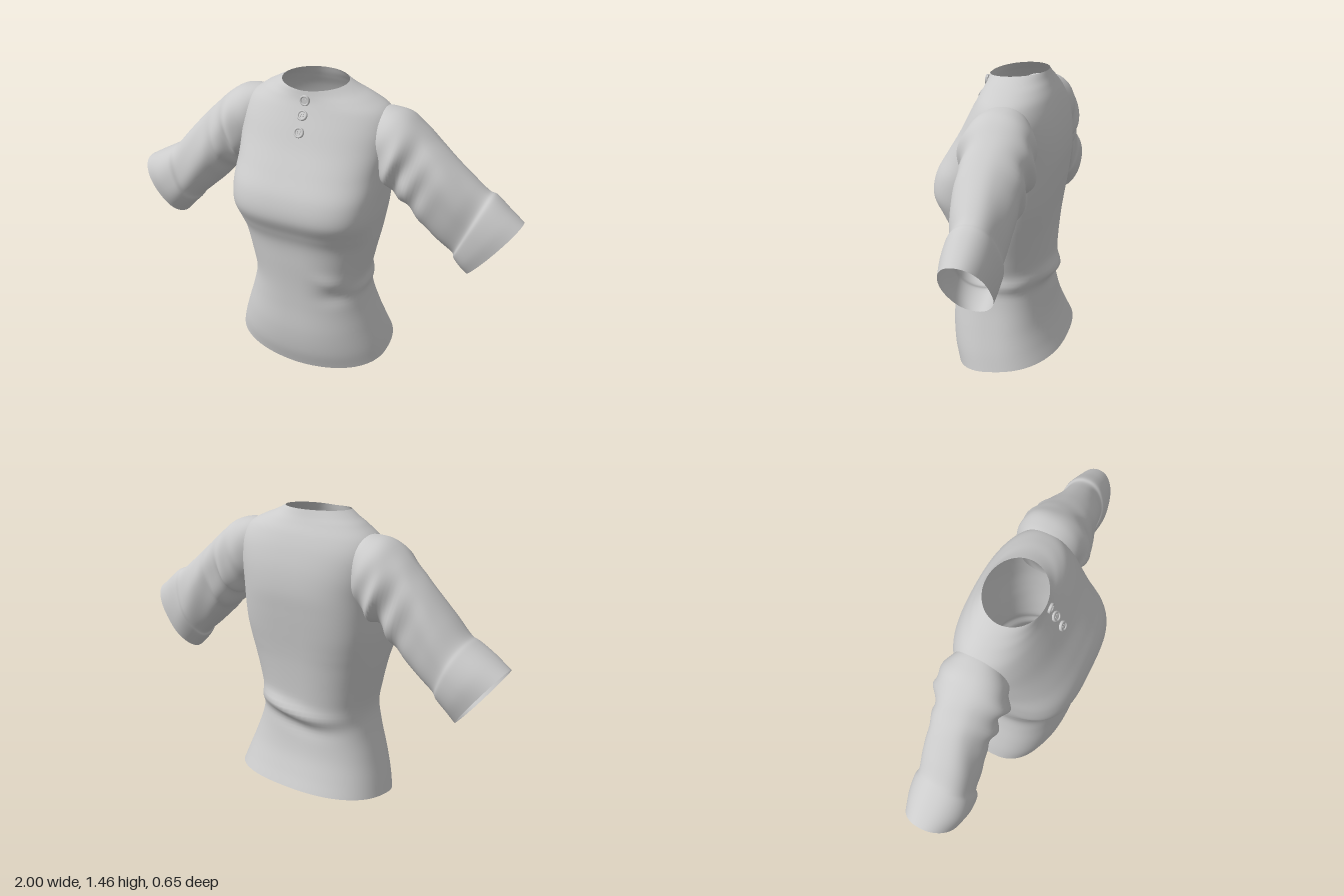
import * as THREE from 'three';

const fabric = new THREE.MeshStandardMaterial({ color: 0xcccccc, side: THREE.DoubleSide, roughness: 0.9 });
const COLS = 72;
const spow = (v, e) => Math.sign(v) * Math.pow(Math.abs(v), e);
const bump = (d, w) => Math.exp(-(d * d) / (w * w));

// Smooth open tube through closed cross-sections; tweak(p) adds folds.
function loft(rings, steps, tweak) {
  const rows = (rings.length - 1) * steps;
  const curves = rings[0].map((_, c) => new THREE.CatmullRomCurve3(rings.map(r => r[c]), false, 'catmullrom', 0.5));
  const pos = [], idx = [];
  for (let r = 0; r <= rows; r++) {
    for (let c = 0; c < COLS; c++) {
      const p = curves[c].getPoint(r / rows);
      tweak(p);
      pos.push(p.x, p.y, p.z);
      if (r === rows) continue;
      const a = r * COLS + c, b = r * COLS + (c + 1) % COLS;
      idx.push(a, b, b + COLS, a, b + COLS, a + COLS);
    }
  }
  const geo = new THREE.BufferGeometry();
  geo.setAttribute('position', new THREE.Float32BufferAttribute(pos, 3));
  geo.setIndex(idx);
  geo.computeVertexNormals();
  return geo;
}

const angles = Array.from({ length: COLS }, (_, i) => (i / COLS) * Math.PI * 2);

// Torso sections: front y, back y, half width, front z, back z, side z, squareness
const torsoRows = [
  [0.00, 0.11, 0.41, 0.22, -0.32, -0.03, 2.4],
  [0.10, 0.18, 0.385, 0.245, -0.285, -0.02, 2.4],
  [0.22, 0.27, 0.35, 0.255, -0.25, -0.01, 2.4],
  [0.36, 0.38, 0.31, 0.25, -0.23, 0.0, 2.4],
  [0.48, 0.48, 0.29, 0.25, -0.232, 0.0, 2.4],
  [0.60, 0.60, 0.308, 0.255, -0.235, 0.0, 2.5],
  [0.72, 0.72, 0.332, 0.262, -0.242, 0.0, 2.7],
  [0.80, 0.80, 0.345, 0.288, -0.25, 0.01, 3.0],
  [0.89, 0.89, 0.357, 0.325, -0.262, 0.02, 3.2],
  [0.99, 0.99, 0.362, 0.31, -0.275, 0.01, 3.1],
  [1.09, 1.09, 0.365, 0.255, -0.285, -0.02, 2.8],
  [1.19, 1.19, 0.375, 0.195, -0.28, -0.05, 2.6],
  [1.28, 1.28, 0.375, 0.15, -0.262, -0.07, 2.4],
  [1.345, 1.35, 0.345, 0.118, -0.238, -0.07, 2.2],
  [1.385, 1.40, 0.275, 0.10, -0.212, -0.065, 2.1],
  [1.41, 1.43, 0.215, 0.093, -0.197, -0.06, 2],
  [1.435, 1.46, 0.16, 0.088, -0.185, -0.05, 2],
];

function torso() {
  const rings = torsoRows.map(([yF, yB, w, zF, zB, zc, n]) => angles.map(a => {
    const c = spow(Math.cos(a), 2 / n);
    const z = zc + c * (c > 0 ? zF - zc : zc - zB);
    const t = Math.max(0, (zF - z) / (zF - zB));
    return new THREE.Vector3(w * spow(Math.sin(a), 2 / n), yF + (yB - yF) * Math.pow(t, 0.6), z);
  }));
  const geo = loft(rings, 6, p => {
    if (p.z < -0.05) {
      // Fold across the small of the back
      const line = 0.48 + 0.02 * Math.sin(p.x * 9);
      p.z -= 0.032 * bump(p.y - line, 0.035) * bump(p.x - 0.04, 0.22);
      p.z += 0.010 * bump(p.y - line + 0.07, 0.035) * bump(p.x, 0.2);
    } else if (p.y < 0.7) {
      // Soft creases at the left of the waist
      p.z += 0.016 * bump(p.y - 0.53 + 0.3 * (p.x - 0.2), 0.04) * bump(p.x - 0.21, 0.08);
      p.z -= 0.012 * bump(p.y - 0.45, 0.04) * bump(p.x - 0.22, 0.08);
    }
    p.x += 0.014 * bump(p.y - 0.47, 0.03) * bump(p.x - 0.3, 0.08);
    // Slightly off-centre neckline
    p.x -= 0.02 * THREE.MathUtils.smoothstep(p.y, 1.36, 1.44);
  });
  return geo;
}

// Sleeve sections: top x, top y, bottom x, bottom y, front z, back z
const inner = [
  [0.26, 1.36, 0.28, 1.06, 0.03, -0.18],
  [0.35, 1.365, 0.34, 1.01, 0.08, -0.225],
  [0.435, 1.345, 0.39, 0.985, 0.10, -0.24],
];
const leftSleeve = [...inner,
  [0.52, 1.28, 0.45, 0.93, 0.08, -0.232],
  [0.64, 1.185, 0.53, 0.85, 0.07, -0.22],
  [0.75, 1.095, 0.62, 0.765, 0.045, -0.205],
  [0.82, 1.04, 0.69, 0.705, 0.022, -0.195],
  [0.86, 1.025, 0.70, 0.68, 0.033, -0.205],
  [0.93, 0.97, 0.73, 0.645, 0.035, -0.2],
  [0.995, 0.92, 0.765, 0.61, 0.025, -0.19],
];
const rightSleeve = [...inner,
  [0.52, 1.28, 0.45, 0.935, 0.085, -0.22],
  [0.63, 1.175, 0.54, 0.84, 0.07, -0.2],
  [0.73, 1.065, 0.62, 0.765, 0.08, -0.19],
  [0.80, 0.985, 0.685, 0.705, 0.085, -0.18],
  [0.84, 0.96, 0.705, 0.675, 0.105, -0.19],
  [0.92, 0.915, 0.75, 0.63, 0.105, -0.19],
  [1.0, 0.868, 0.79, 0.585, 0.08, -0.175],
];

function sleeve(rows, side) {
  const rings = rows.map(([tx, ty, bx, by, zF, zB]) => angles.map(a => {
    const s = 0.5 - 0.5 * side * spow(Math.sin(a), 0.92);
    return new THREE.Vector3(
      side * (bx + (tx - bx) * s),
      by + (ty - by) * s,
      (zF + zB) / 2 + (spow(Math.cos(a), 0.92) * (zF - zB)) / 2);
  }));
  return loft(rings, 7, p => {
    const x = Math.abs(p.x), sgn = p.z > -0.07 ? 1 : -1;
    const edge = Math.min(1, Math.abs(p.z + 0.07) / 0.08);
    // Bunching at the underarm, fading towards the cuff
    const arm = bump(x - 0.43, 0.12) * bump(p.y - 1.05, 0.17);
    const mid = bump(x - 0.62, 0.16);
    p.z += sgn * edge * (0.017 * arm * Math.sin(48 * x - 22 * p.y + sgn)
      + 0.009 * mid * Math.sin(26 * x + 17 * p.y + 2 * sgn + side));
    p.y += 0.012 * arm * Math.sin(55 * x + 20 * p.z);
  });
}

// Round button with raised rim and two thread bars
function button(y, z, tilt) {
  const g = new THREE.Group();
  g.name = 'button';
  const add = (geo, name, x, dz) => {
    const m = new THREE.Mesh(geo, fabric);
    m.name = name;
    m.position.set(x, 0, dz);
    g.add(m);
  };
  add(new THREE.CylinderGeometry(0.024, 0.024, 0.008, 24).rotateX(Math.PI / 2), 'buttonDisc', 0, 0);
  add(new THREE.TorusGeometry(0.020, 0.005, 8, 24), 'buttonRim', 0, 0.004);
  for (const s of [-1, 1]) add(new THREE.BoxGeometry(0.005, 0.012, 0.005), 'buttonThread', s * 0.006, 0.005);
  g.position.set(0, y, z);
  g.rotation.x = -tilt;
  return g;
}

export function createModel() {
  const model = new THREE.Group();
  model.name = 'shirt';
  const parts = { torso: torso(), leftSleeve: sleeve(leftSleeve, 1), rightSleeve: sleeve(rightSleeve, -1) };
  for (const [name, geo] of Object.entries(parts)) {
    const m = new THREE.Mesh(geo, fabric);
    m.name = name;
    model.add(m);
  }
  model.add(button(1.397, 0.102, 0.05), button(1.335, 0.128, 0.6), button(1.265, 0.163, 0.45));
  return model;
}
